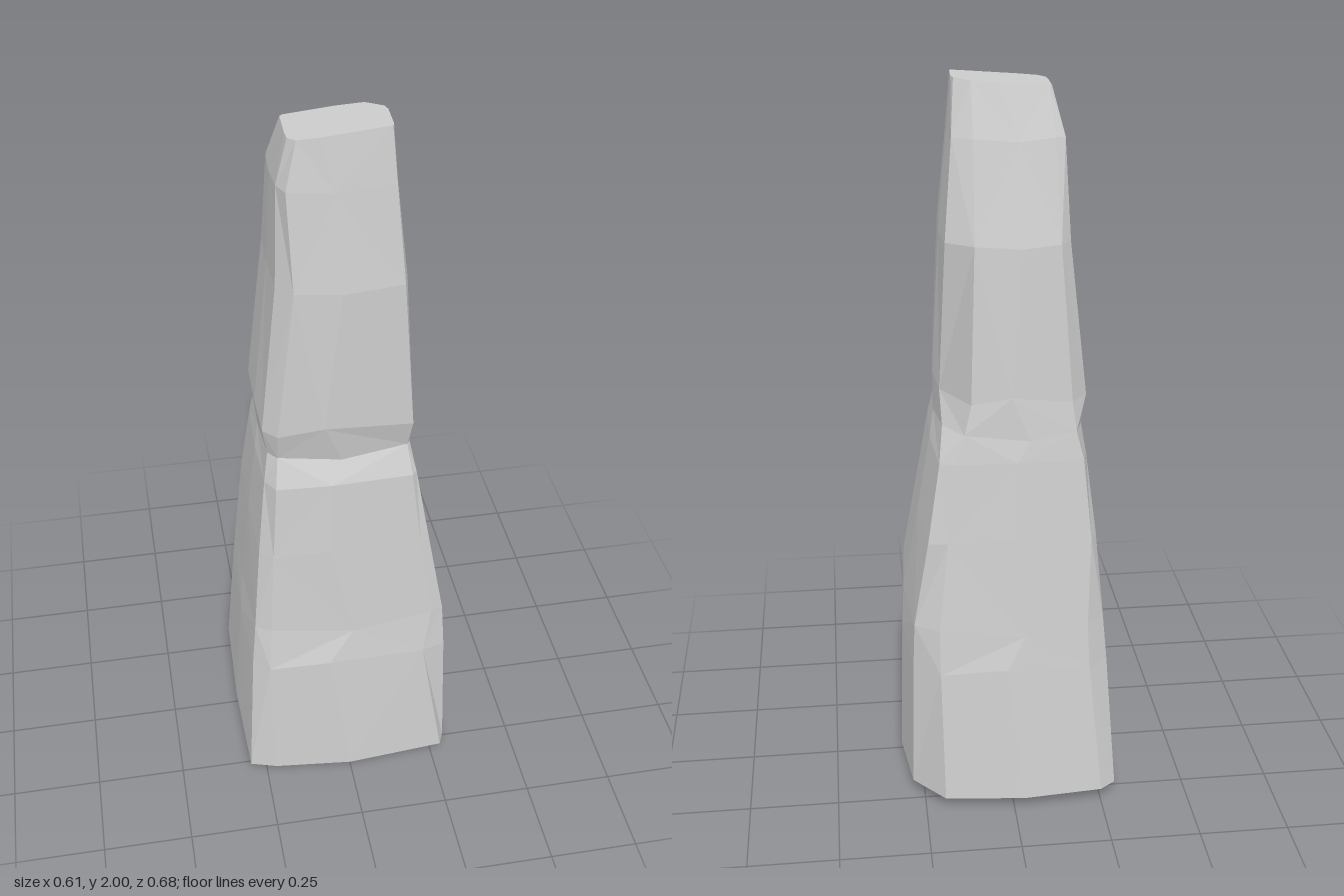
import * as THREE from 'three';

// Each level: height, then left/right/front/back extents, then the chamfer at each
// corner as (x on the front or back face, z on the side face):
// front right, back right, back left, front left (right meaning +x here).
const LEVELS = [
  [0.04, -.305, .305, .34, -.34, .275, .28, .195, -.22, -.25, -.29, -.225, .295],
  [0.42, -.28, .292, .308, -.29, .215, .27, .20, -.21, -.215, -.23, -.23, .25],
  [0.55, -.268, .285, .285, -.272, .24, .255, .20, -.21, -.21, -.22, -.22, .24],
  [0.80, -.245, .24, .26, -.235, .205, .235, .17, -.21, -.22, -.19, -.205, .21],
  [1.02, -.22, .202, .238, -.205, .18, .21, .15, -.18, -.20, -.14, -.19, .18],
  [1.10, -.207, .187, .202, -.192, .17, .175, .12, -.10, -.18, -.12, -.18, .16],
  [1.18, -.22, .188, .22, -.178, .18, .20, .10, -.035, -.17, -.115, -.18, .17],
  [1.60, -.172, .166, .205, -.137, .15, .165, .085, -.08, -.14, -.10, -.13, .15],
  [1.86, -.16, .14, .168, -.065, .13, .13, .08, -.03, -.13, -.05, -.14, .12],
  [1.99, -.13, .127, .145, -.01, .12, .13, .08, .03, -.12, 0, -.11, .12],
];

// Twelve points round one level, starting at the front right corner
function ring([y, xl, xr, zf, zb, frx, frz, brx, brz, blx, blz, flx, flz], level) {
  const b = 0.005 + 0.009 * (2 - y); // how far the face middles bulge
  const s = 0.03 * Math.sin(level * 2.3); // wandering face middles
  const pts = [
    [frx, zf - b], [xr - b * 0.6, frz], [xr, (frz + brz) / 2 - s],
    [xr - b, brz], [brx, zb + b], [(brx + blx) / 2 + s, zb],
    [blx, zb + b * 0.8], [xl + b * 0.5, blz], [xl, (blz + flz) / 2 + s],
    [xl + b * 0.3, flz], [flx, zf - b], [(flx + frx) / 2 - 0.03 - s, zf],
  ];
  const last = LEVELS.length - 1;
  return pts.map(([x, z], i) => {
    let py = y;
    if (level === 0) py = i === 2 ? 0 : y; // the foot dips on one side
    else if (level === last) py = y + 0.08 * x; // the tip is tilted
    else if (i % 3 === 2) py = y + s * 0.7; // uneven breaks across the faces
    return new THREE.Vector3(x, py, z);
  });
}

function pillarGeometry() {
  const rings = LEVELS.map(ring);
  const n = rings[0].length;
  const verts = [];
  const tri = (...p) => p.forEach((v) => verts.push(v.x, v.y, v.z));

  // Sides, with the diagonals alternating
  for (let k = 0; k < rings.length - 1; k++) {
    for (let i = 0; i < n; i++) {
      const j = (i + 1) % n;
      const a = rings[k][i], b = rings[k][j], c = rings[k + 1][j], d = rings[k + 1][i];
      if ((i + k) % 2) { tri(a, b, c); tri(a, c, d); } else { tri(a, b, d); tri(b, c, d); }
    }
  }

  // Foot and tip
  const middle = (r) => r.reduce((m, p) => m.add(p), new THREE.Vector3()).divideScalar(n);
  const foot = rings[0], tip = rings[rings.length - 1];
  const footMid = middle(foot), tipMid = middle(tip);
  footMid.y = 0.02;
  for (let i = 0; i < n; i++) {
    const j = (i + 1) % n;
    tri(footMid, foot[j], foot[i]);
    tri(tipMid, tip[i], tip[j]);
  }

  const g = new THREE.BufferGeometry();
  g.setAttribute('position', new THREE.Float32BufferAttribute(verts, 3));
  g.computeVertexNormals();
  return g;
}

export function createModel() {
  const model = new THREE.Group();
  model.name = 'standingStone';
  const stone = new THREE.Mesh(
    pillarGeometry(),
    new THREE.MeshStandardMaterial({ color: 0xcccccc, flatShading: true }),
  );
  stone.name = 'rockPillar';
  model.add(stone);
  return model;
}
